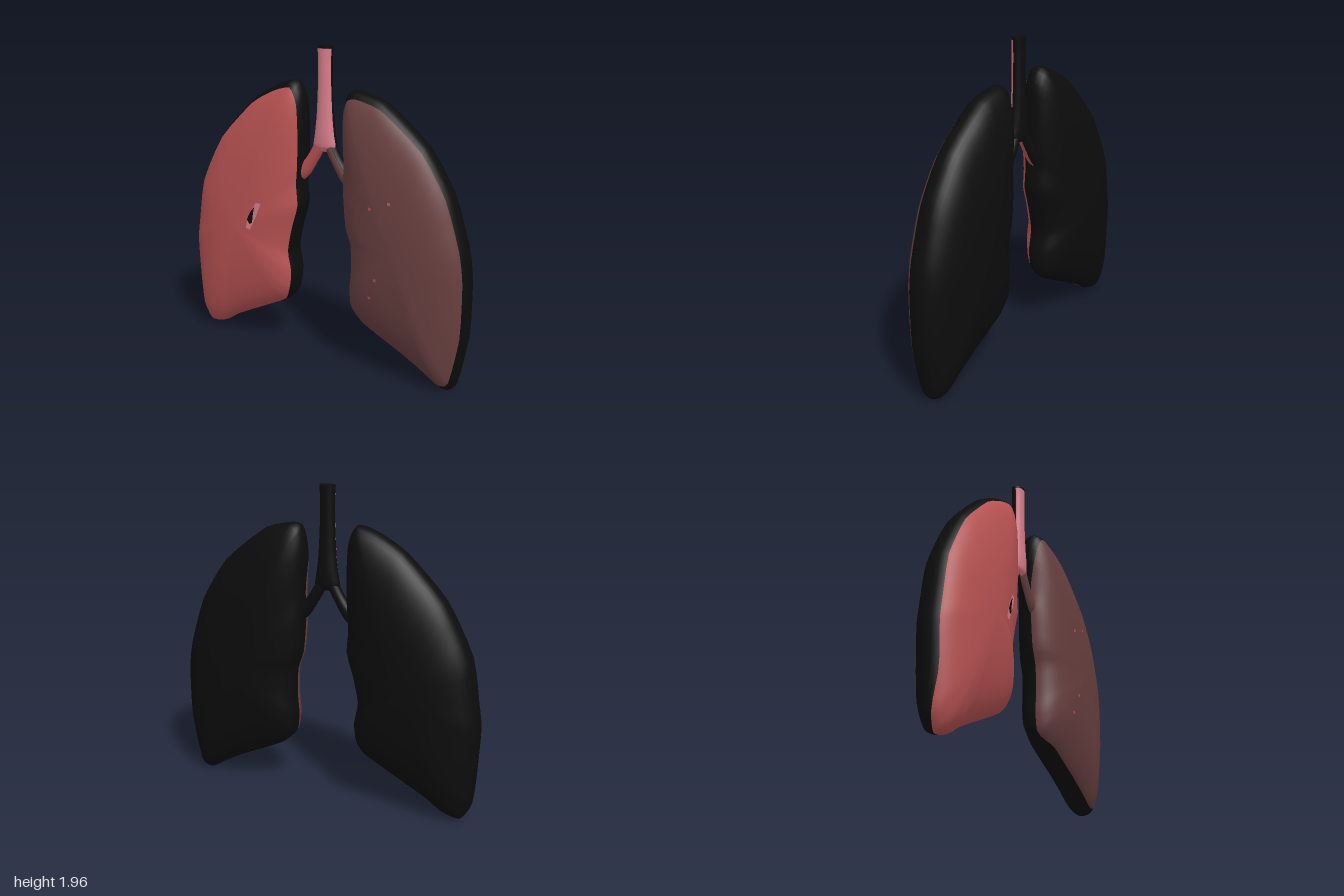
import * as THREE from 'three';
import { mergeVertices } from 'three/addons/utils/BufferGeometryUtils.js';

const paint = (name, color) => {
  const m = new THREE.MeshStandardMaterial({ color });
  m.name = name;
  return m;
};

const DEPTH = 0.19;                    // half thickness of a lung
const CENTRE = [0.58, 0.82];           // middle of a lung, x measured outward
const bulge = (phi) => DEPTH * Math.sign(Math.cos(phi)) * Math.abs(Math.cos(phi)) ** 0.87;

// Smooth surface from a grid; the first frontRows rows use material 0, the rest material 1
function gridGeometry(rows, cols, frontRows, point) {
  const pos = [], index = [];
  for (let i = 0; i <= rows; i++)
    for (let j = 0; j <= cols; j++) pos.push(...point(i, j));
  for (let i = 0; i < rows; i++)
    for (let j = 0; j < cols; j++) {
      const a = i * (cols + 1) + j, b = a + cols + 1;
      index.push(a, b, b + 1, a, b + 1, a + 1);
    }
  let g = new THREE.BufferGeometry();
  g.setAttribute('position', new THREE.Float32BufferAttribute(pos, 3));
  g.setIndex(index);
  g = mergeVertices(g, 1e-5);
  g.computeVertexNormals();
  g.addGroup(0, frontRows * cols * 6, 0);
  g.addGroup(frontRows * cols * 6, (rows - frontRows) * cols * 6, 1);
  return g;
}

// Outline relative to the lung centre, running counter-clockwise seen from the front
function lungOutline(points, side) {
  const curve = new THREE.CatmullRomCurve3(
    points.map(([x, y]) => new THREE.Vector3(side * (x - CENTRE[0]), y - CENTRE[1], 0)), true, 'catmullrom', 0.3);
  const out = curve.getPoints(points.length * 3);
  return side > 0 ? out.reverse() : out;
}

// Pillow swelling from the outline; splitAt gives where the dark back begins
function lungGeometry(outline, side, splitAt) {
  const front = 14, back = 18;
  const splits = outline.map((p) => {
    const r = Math.hypot(p.x, p.y);
    return splitAt(side * p.x / r, p.y / r);
  });
  return gridGeometry(front + back, outline.length - 1, front, (i, j) => {
    const split = splits[j];
    const phi = i <= front ? split * i / front : split + (Math.PI - split) * (i - front) / back;
    const s = i === front + back ? 0 : Math.sin(phi), p = outline[j];
    return [side * CENTRE[0] + p.x * s, CENTRE[1] + p.y * s, bulge(phi)];
  });
}

// Height of the front of a lung at x, y
function frontHeight(outline, side, x, y) {
  const dx = x - side * CENTRE[0], dy = y - CENTRE[1];
  for (let j = 0; j + 1 < outline.length; j++) {
    const p = outline[j], q = outline[j + 1], k = p.x * q.y - p.y * q.x;
    const a = (dx * q.y - dy * q.x) / k, b = (p.x * dy - p.y * dx) / k;
    if (a >= 0 && b >= 0) return bulge(Math.asin(Math.min(1, a + b)));
  }
  return 0;
}

// Thin spot following the front of a lung
function spotGeometry(points, outline, side, lift) {
  const g = new THREE.ShapeGeometry(new THREE.Shape(points.map((p) => new THREE.Vector2(...p))));
  const pos = g.attributes.position;
  for (let i = 0; i < pos.count; i++)
    pos.setZ(i, frontHeight(outline, side, pos.getX(i), pos.getY(i)) + lift);
  g.computeVertexNormals();
  return g;
}

// Airway tube through sections [x, y, half width, half depth], listed upward;
// angles a0 to a1 around it carry the front colour
function airwayGeometry(sections, a0, a1) {
  const front = 12, back = 12, steps = 24;
  const axis = new THREE.CatmullRomCurve3(sections.map(([x, y]) => new THREE.Vector3(x, y, 0)));
  const sizes = new THREE.CatmullRomCurve3(sections.map((s) => new THREE.Vector3(s[2], s[3], 0)));
  return gridGeometry(front + back, steps, front, (i, j) => {
    const a = i <= front ? a0 + (a1 - a0) * i / front : a1 + (a0 + 2 * Math.PI - a1) * (i - front) / back;
    const c = axis.getPoint(j / steps), t = axis.getTangent(j / steps), r = sizes.getPoint(j / steps);
    const w = -Math.cos(a) * r.x;
    return [c.x + t.y * w, c.y - t.x * w, Math.sin(a) * r.y];
  });
}

export function createModel() {
  const red = paint('red', 0xb85252), brown = paint('dark brown red', 0x683f3f);
  const pink = paint('pink', 0xd47c88), black = paint('black', 0x0c0c0c);
  const model = new THREE.Group();
  model.name = 'lungs';
  const add = (name, geometry, material) => {
    const mesh = new THREE.Mesh(geometry, material);
    mesh.name = name;
    model.add(mesh);
    return mesh;
  };
  const ease = THREE.MathUtils.smoothstep;

  // Right lung: the red runs under the lower edge
  const rightOutline = lungOutline([
    [0.2, 1.75], [0.32, 1.72], [0.5, 1.62], [0.76, 1.36], [0.93, 1.04], [0.98, 0.75], [1, 0.6], [0.985, 0.3],
    [0.965, 0.12], [0.905, 0.025], [0.8, 0.045], [0.7, 0.11], [0.55, 0.185], [0.28, 0.32], [0.215, 0.4],
    [0.2, 0.52], [0.225, 0.66], [0.19, 0.83], [0.145, 0.98], [0.155, 1.12], [0.145, 1.25], [0.14, 1.45], [0.15, 1.65],
  ], -1);
  add('rightLung', lungGeometry(rightOutline, -1, (x, y) => 1.27 + 0.31 * ease(-y, 0.75, 0.95)), [red, black]);

  // Left lung: the brown runs round the inner edge
  const leftOutline = lungOutline([
    [0.235, 1.73], [0.42, 1.68], [0.7, 1.46], [0.87, 1.2], [0.97, 0.9], [1, 0.7], [0.995, 0.35], [0.93, 0.04],
    [0.86, 0.005], [0.75, 0.07], [0.6, 0.15], [0.45, 0.22], [0.31, 0.29], [0.22, 0.38], [0.205, 0.5],
    [0.215, 0.62], [0.21, 0.8], [0.17, 0.92], [0.15, 1.15], [0.155, 1.3], [0.145, 1.5], [0.15, 1.62], [0.175, 1.71],
  ], 1);
  add('leftLung', lungGeometry(leftOutline, 1, (x) => 1.27 + 0.27 * ease(-x, 0.4, 0.65)), [brown, black]);

  // Windpipe with a dark open top
  add('windpipe', airwayGeometry([
    [0, 1.335, 0.03, 0.02], [0, 1.37, 0.082, 0.042], [0, 1.44, 0.07, 0.046], [0, 1.55, 0.057, 0.042],
    [0, 1.75, 0.047, 0.038], [0, 1.88, 0.046, 0.038], [0, 1.96, 0.05, 0.038],
  ], 0.2, Math.PI - 0.2), [pink, black]);
  const rim = add('windpipeOpening', new THREE.CylinderGeometry(0.051, 0.05, 0.014, 24), black);
  rim.scale.z = 0.76;
  rim.position.y = 1.963;

  // Branches into each lung
  const branch = (side) => [
    [side * 0.24, 1.14, 0.05, 0.04], [side * 0.16, 1.19, 0.045, 0.038],
    [side * 0.09, 1.28, 0.036, 0.035], [side * 0.04, 1.37, 0.036, 0.034], [side * 0.025, 1.42, 0.03, 0.03],
  ];
  add('rightBranch', airwayGeometry(branch(-1), 0.45, Math.PI + 0.3), [red, black]);
  add('leftBranch', airwayGeometry(branch(1), 0.1, 2.1), [brown, black]);

  // Blemish on the right lung
  add('blemish', spotGeometry([
    [-0.48, 0.81], [-0.45, 0.8], [-0.43, 0.84], [-0.4, 0.9], [-0.37, 0.98], [-0.4, 0.985], [-0.425, 0.95], [-0.46, 0.88],
  ], rightOutline, -1, 0.004), pink);
  add('blemishHollow', spotGeometry([
    [-0.45, 0.84], [-0.43, 0.85], [-0.42, 0.92], [-0.41, 0.96], [-0.44, 0.92], [-0.465, 0.87],
  ], rightOutline, -1, 0.007), black);

  // Small specks on the left lung
  for (const [x, y] of [[0.43, 1.09], [0.555, 1.14], [0.47, 0.66], [0.425, 0.535]]) {
    const h = 0.009;
    add('speck', spotGeometry([[x - h, y - h], [x + h, y - h], [x + h, y + h], [x - h, y + h]], leftOutline, 1, 0.004), red);
  }
  return model;
}
